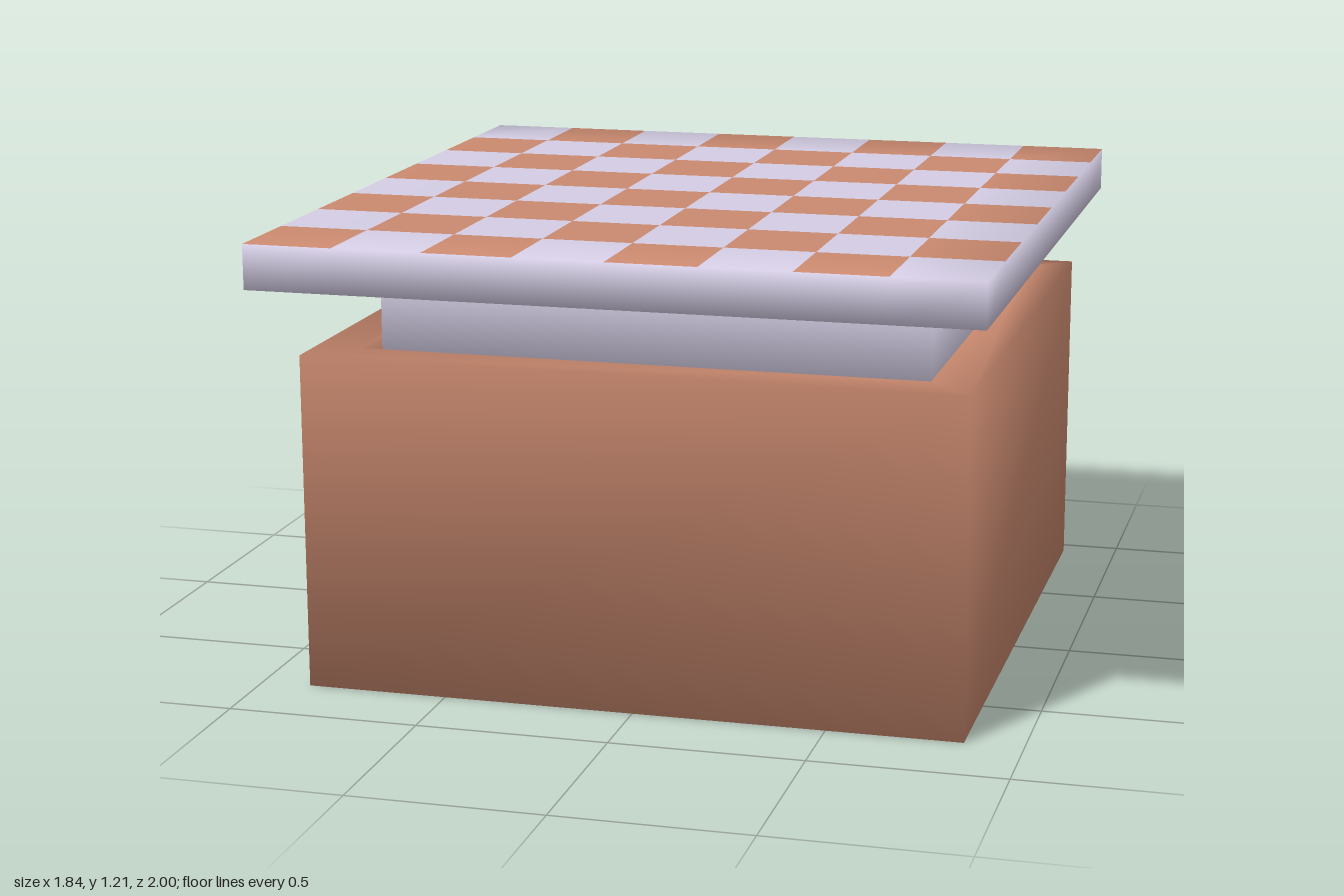
import * as THREE from 'three';
import { mergeVertices } from 'three/addons/utils/BufferGeometryUtils.js';

const paint = (color) => new THREE.MeshStandardMaterial({ color });
const clay = paint(0xc8886e);
const lilac = paint(0xd2cbe2);
const blue = paint(0x4f5f9c);

// Shares corner vertices so the normals run smoothly around the edges
function soften(geometry) {
  geometry.deleteAttribute('normal');
  geometry.deleteAttribute('uv');
  const welded = mergeVertices(geometry);
  welded.computeVertexNormals();
  return welded;
}

function block([x0, x1], [y0, y1], [z0, z1], nx = 1, nz = 1) {
  return new THREE.BoxGeometry(x1 - x0, y1 - y0, z1 - z0, nx, 1, nz)
    .translate((x0 + x1) / 2, (y0 + y1) / 2, (z0 + z1) / 2);
}

// Box with a rim and a shallow well, lofted through rectangular rings
function trayGeometry([x0, x1], [z0, z1], rings) {
  const positions = [];
  const index = [0, 3, 2, 0, 2, 1];
  rings.forEach(([inset, y], r) => {
    const l = x0 + inset, w = x1 - inset, b = z0 + inset, f = z1 - inset;
    positions.push(l, y, f, w, y, f, w, y, b, l, y, b);
    if (r === 0) return;
    for (let i = 0; i < 4; i++) {
      const a = (r - 1) * 4 + i;
      const c = (r - 1) * 4 + ((i + 1) % 4);
      index.push(a, c, c + 4, a, c + 4, a + 4);
    }
  });
  const geometry = new THREE.BufferGeometry();
  geometry.setAttribute('position', new THREE.Float32BufferAttribute(positions, 3));
  geometry.setIndex(index);
  geometry.computeVertexNormals();
  return geometry;
}

export function createModel() {
  const model = new THREE.Group();
  const add = (name, geometry, material, parent = model) => {
    const mesh = new THREE.Mesh(geometry, material);
    mesh.name = name;
    parent.add(mesh);
  };

  // Base box with its recessed top
  const bx = [-0.87, 0.85], bz = [-0.94, 0.78];
  const rim = 0.12, wellY = 0.8;
  add('baseBox', trayGeometry(bx, bz, [[0, 0], [0, 0.88], [rim, 0.88], [rim, wellY]]), clay);

  // Lining on the floor of the well
  const lining = new THREE.PlaneGeometry(bx[1] - bx[0] - 2 * rim, bz[1] - bz[0] - 2 * rim)
    .rotateX(-Math.PI / 2)
    .translate((bx[0] + bx[1]) / 2, wellY, (bz[0] + bz[1]) / 2);
  add('wellLining', lining, blue);

  // Neck standing in the well and carrying the board
  add('neck', soften(block([-0.745, 0.71], [wellY, 1.09], [-0.65, 0.52])), lilac);

  // Board: the top cells of one smooth slab are sorted into two colours
  const n = 8;
  const slab = block([-0.92, 0.92], [1.09, 1.205], [-1, 1], n, n);
  const top = slab.groups[2];
  const board = soften(slab);
  const light = [], dark = [];
  board.index.array.forEach((vertex, k) => {
    const cell = Math.floor((k - top.start) / 6);
    const onTop = cell >= 0 && cell < n * n;
    const odd = ((cell % n) + Math.floor(cell / n)) % 2 === 1;
    (onTop && odd ? dark : light).push(vertex);
  });
  const boardGroup = new THREE.Group();
  boardGroup.name = 'board';
  model.add(boardGroup);
  add('boardSlab', board.clone().setIndex(light), lilac, boardGroup);
  add('darkSquares', board.clone().setIndex(dark), clay, boardGroup);

  return model;
}
